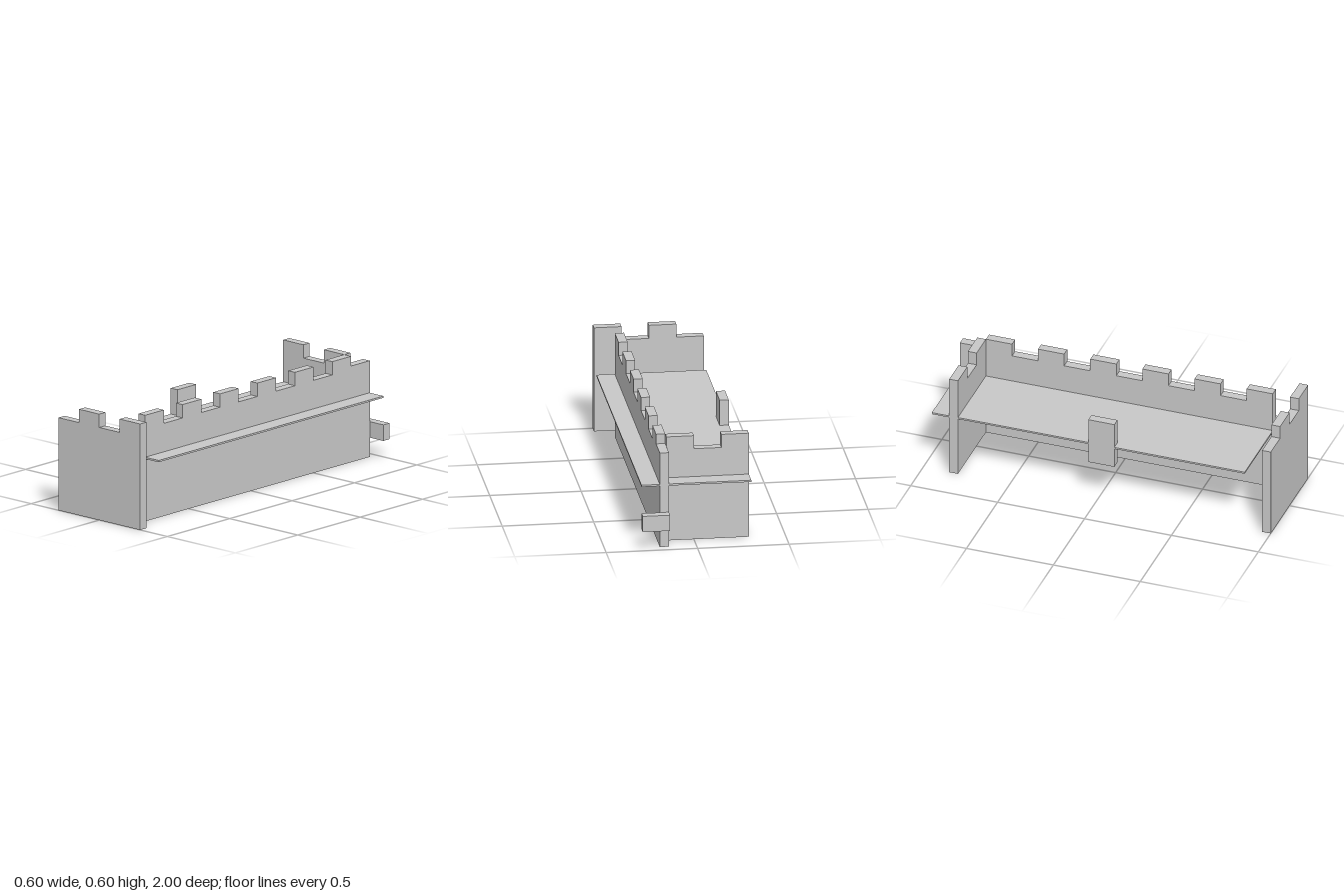
import * as THREE from 'three';

const T = 0.05;      // wall thickness
const HIGH = 0.595;  // top of the merlons
const LOW = 0.52;    // bottom of the notches
const STEP = 0.15;   // width of one merlon or notch

// Upright slab whose top is a staircase of [end, height] runs
function crenellatedWall(start, runs) {
  const shape = new THREE.Shape();
  shape.moveTo(start, 0);
  let u = start;
  for (const [end, height] of runs) {
    shape.lineTo(u, height);
    shape.lineTo(end, height);
    u = end;
  }
  shape.lineTo(u, 0);
  return new THREE.ExtrudeGeometry(shape, { depth: T, bevelEnabled: false });
}

// Alternating runs of equal width
function battlements(start, count, firstHigh) {
  return Array.from({ length: count }, (_, i) => [
    start + (i + 1) * STEP,
    (i % 2 === 0) === firstHigh ? HIGH : LOW,
  ]);
}

// Box given by its limits on each axis
function block(x0, x1, y0, y1, z0, z1) {
  return new THREE.BoxGeometry(x1 - x0, y1 - y0, z1 - z0)
    .translate((x0 + x1) / 2, (y0 + y1) / 2, (z0 + z1) / 2);
}

export function createModel() {
  const group = new THREE.Group();
  const grey = new THREE.MeshStandardMaterial({ color: 0xc8c8c8 });
  grey.name = 'plain grey';

  const add = (name, geometry) => {
    const mesh = new THREE.Mesh(geometry, grey);
    mesh.name = name;
    group.add(mesh);
  };

  // Free-standing front wall
  add('frontWall', crenellatedWall(-0.3, battlements(-0.3, 4, false)).translate(0, 0, 0.95));

  // Rear cross wall, butting against the long wall
  add('backWall', crenellatedWall(-0.3, battlements(-0.3, 3, true)).translate(0, 0, -0.85));

  // Long wall with a lower stub behind the rear cross wall
  const longRuns = [[-0.8, 0.54], ...battlements(-0.8, 11, true)];
  add('longWall', crenellatedWall(-0.95, longRuns).rotateY(-Math.PI / 2).translate(0.2, 0, 0));

  // Thin walkway passing through the walls
  add('walkway', block(-0.3, 0.3, 0.35, 0.36, -0.95, 0.85));

  // Tabs on the walkway edge and at the end of the long wall
  add('sideTab', block(-0.3, -0.25, 0.235, 0.505, -0.05, 0.1));
  add('endTab', block(0.15, 0.3, 0.108, 0.198, -1, -0.95));

  return group;
}
